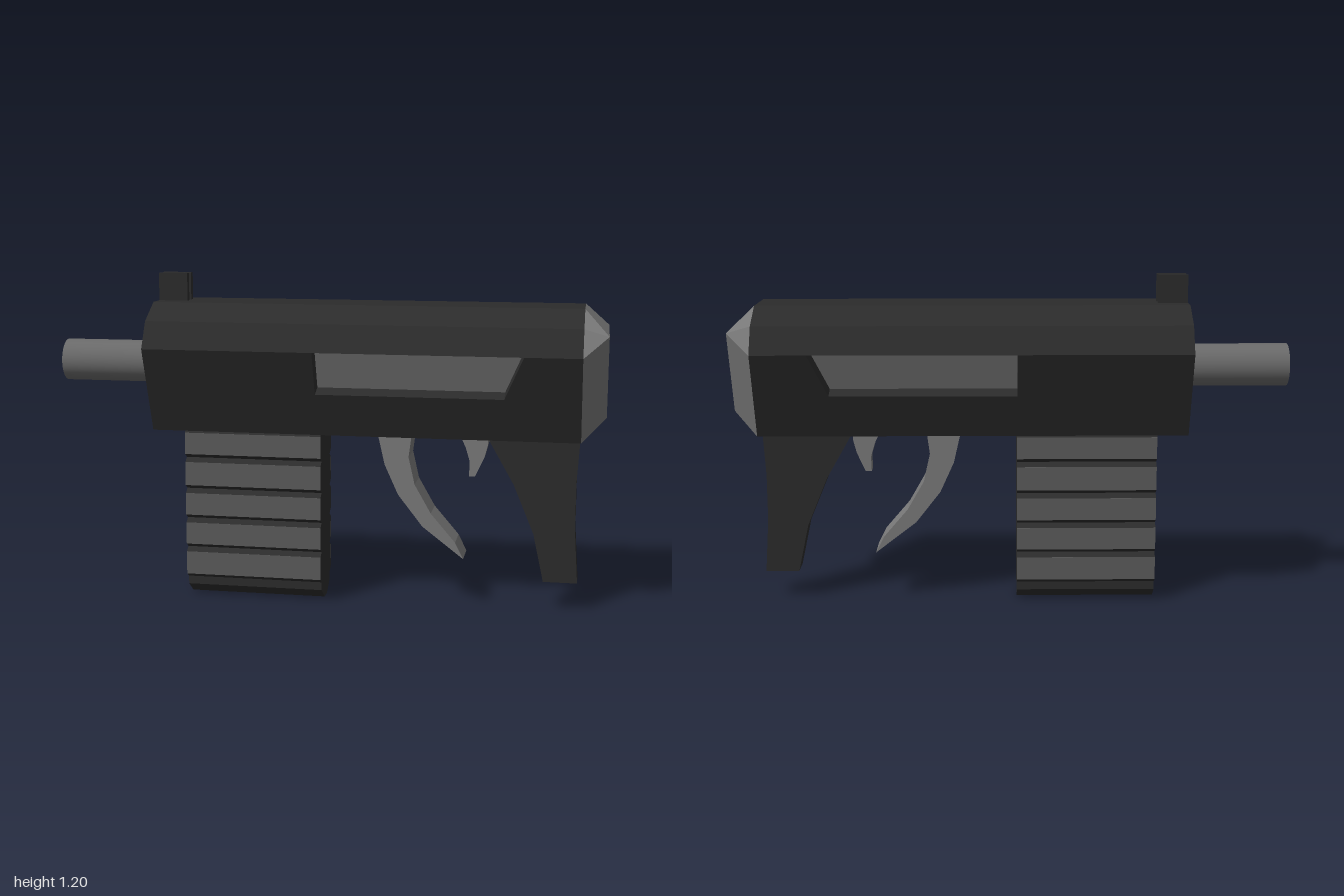
import * as THREE from 'three';
import { ConvexGeometry } from 'three/addons/geometries/ConvexGeometry.js';

const mat = (color, extra = {}) => {
  const m = new THREE.MeshStandardMaterial({ flatShading: true, ...extra });
  m.color.set(color);
  return m;
};
const shapeOf = (pts) => new THREE.Shape(pts.map(([x, y]) => new THREE.Vector2(x, y)));
const extrude = (pts, depth) =>
  new THREE.ExtrudeGeometry(shapeOf(pts), { depth, bevelEnabled: false });
// Right half profile (bottom to top) completed by its mirror image
const mirrored = (half) => [...half, ...half.map(([z, y]) => [-z, y]).reverse()];
// Symmetric (z, y) profile swept along x
const sweepX = (half, x0, x1) =>
  extrude(mirrored(half), x1 - x0).rotateY(Math.PI / 2).translate(x0, 0, 0);

export function createModel() {
  const model = new THREE.Group();
  const dark = mat(0x2b2b2b), ribGrey = mat(0x5a5a5a), grey = mat(0x787878);
  const tubeGrey = mat(0x6a6a6a, { flatShading: false, side: THREE.DoubleSide });

  const add = (name, geometry, material) => {
    const mesh = new THREE.Mesh(geometry, material);
    mesh.name = name;
    model.add(mesh);
    return mesh;
  };

  // Body core, stepped in behind the slanted side panels
  const X0 = -0.63, X1 = 0.915, D = 0.055;
  add('bodyCore', sweepX([
    [0.145, 0.635], [0.094, 0.655], [0.208, 0.945],
    [0.267, 0.945], [0.215, 1.04], [0.11, 1.1],
  ], X0, X1), dark);

  // Slanted side panels with a notch, and the lighter floor of the notch
  const rise = 0.31, run = 0.122, len = Math.hypot(rise, run);
  const slant = (y) => ((y - 0.635) * len) / rise;
  const slot = [[-0.015, len], [-0.015, slant(0.79)], [0.65, slant(0.79)], [0.718, len]];
  for (const s of [1, -1]) {
    const flip = (pts) => pts.map(([x, v]) => [s * x, v]);
    const ax = new THREE.Vector3(s, 0, 0);
    const ay = new THREE.Vector3(0, rise, s * run).normalize();
    const az = new THREE.Vector3().crossVectors(ax, ay);
    const place = (geometry, depth) => {
      const origin = new THREE.Vector3(0, 0.635, s * 0.145).addScaledVector(az, -depth);
      return geometry.applyMatrix4(new THREE.Matrix4().makeBasis(ax, ay, az).setPosition(origin));
    };
    const side = s > 0 ? 'Left' : 'Right';
    const outline = [[X0, 0], [X1, 0], [X1, len], ...[...slot].reverse(), [X0, len]];
    add('sidePanel' + side, place(extrude(flip(outline), D), D), dark);
    add('slotFloor' + side,
      place(new THREE.ShapeGeometry(shapeOf(flip(slot))), D - 0.002), grey);
  }

  // Faceted end cap
  const capPoints = [];
  const ring = (x, half) =>
    mirrored(half).forEach(([z, y]) => capPoints.push(new THREE.Vector3(x, y, z)));
  ring(X1, [[0.145, 0.635], [0.267, 0.945], [0.215, 1.04], [0.11, 1.1]]);
  ring(1, [[0.095, 0.72], [0.21, 1.015]]);
  add('endCap', new ConvexGeometry(capPoints), grey);

  // Hollow barrel: each wall is its own strip so the rim stays sharp
  const barrel = new THREE.Group();
  barrel.name = 'barrel';
  const strips = [
    [[0.077, 0], [0.077, 0.38]],
    [[0.077, 0.38], [0.056, 0.38]],
    [[0.056, 0.38], [0.056, 0.01]],
    [[0.056, 0.01], [0, 0.01]],
  ];
  for (const strip of strips) {
    const wall = new THREE.LatheGeometry(strip.map(([r, h]) => new THREE.Vector2(r, h)), 32);
    const mesh = new THREE.Mesh(wall, tubeGrey);
    mesh.name = 'barrelWall';
    barrel.add(mesh);
  }
  barrel.rotation.z = Math.PI / 2;
  barrel.position.set(-0.62, 0.87, 0);
  model.add(barrel);

  // Twin sight plates
  for (const s of [1, -1]) {
    add('sightPlate', new THREE.BoxGeometry(0.107, 0.11, 0.024)
      .translate(-0.5765, 1.145, s * 0.025), dark);
  }

  // Ribbed magazine with V grooves and lighter rib faces
  const M0 = -0.523, M1 = -0.015, grooves = [0.185, 0.296, 0.408, 0.525];
  const magazine = [[0.025, 0], [0.08, 0.04], [0.08, 0.07], [0.103, 0.085]];
  for (const y of grooves) magazine.push([0.103, y - 0.015], [0.08, y], [0.103, y + 0.015]);
  magazine.push([0.103, 0.62], [0.08, 0.64]);
  add('magazine', sweepX(magazine, M0, M1), dark);
  const edges = [0.07, ...grooves, 0.635];
  for (let i = 0; i < edges.length - 1; i++) {
    const y0 = edges[i] + 0.015, y1 = edges[i + 1] - 0.015;
    for (const s of [1, -1]) {
      add('magazineRib', new THREE.BoxGeometry(M1 - M0, y1 - y0, 0.002)
        .translate((M0 + M1) / 2, (y0 + y1) / 2, s * 0.103), ribGrey);
    }
  }

  // Flat parts hanging below the body, cut from side outlines
  const plate = (name, pts, halfWidth, material) =>
    add(name, extrude(pts, 2 * halfWidth).translate(0, 0, -halfWidth), material);
  plate('rearGrip', [
    [0.57, 0.65], [0.58, 0.635], [0.68, 0.46], [0.755, 0.28], [0.793, 0.105],
    [0.915, 0.105], [0.902, 0.3], [0.902, 0.47], [0.913, 0.65],
  ], 0.048, dark);
  plate('curvedLever', [
    [0.185, 0.65], [0.215, 0.52], [0.265, 0.41], [0.355, 0.295], [0.505, 0.18],
    [0.475, 0.24], [0.385, 0.345], [0.325, 0.45], [0.302, 0.55], [0.315, 0.65],
  ], 0.066, grey);
  plate('trigger', [
    [0.475, 0.65], [0.505, 0.585], [0.52, 0.535], [0.518, 0.48],
    [0.54, 0.48], [0.572, 0.55], [0.585, 0.6], [0.58, 0.65],
  ], 0.03, grey);

  return model;
}
